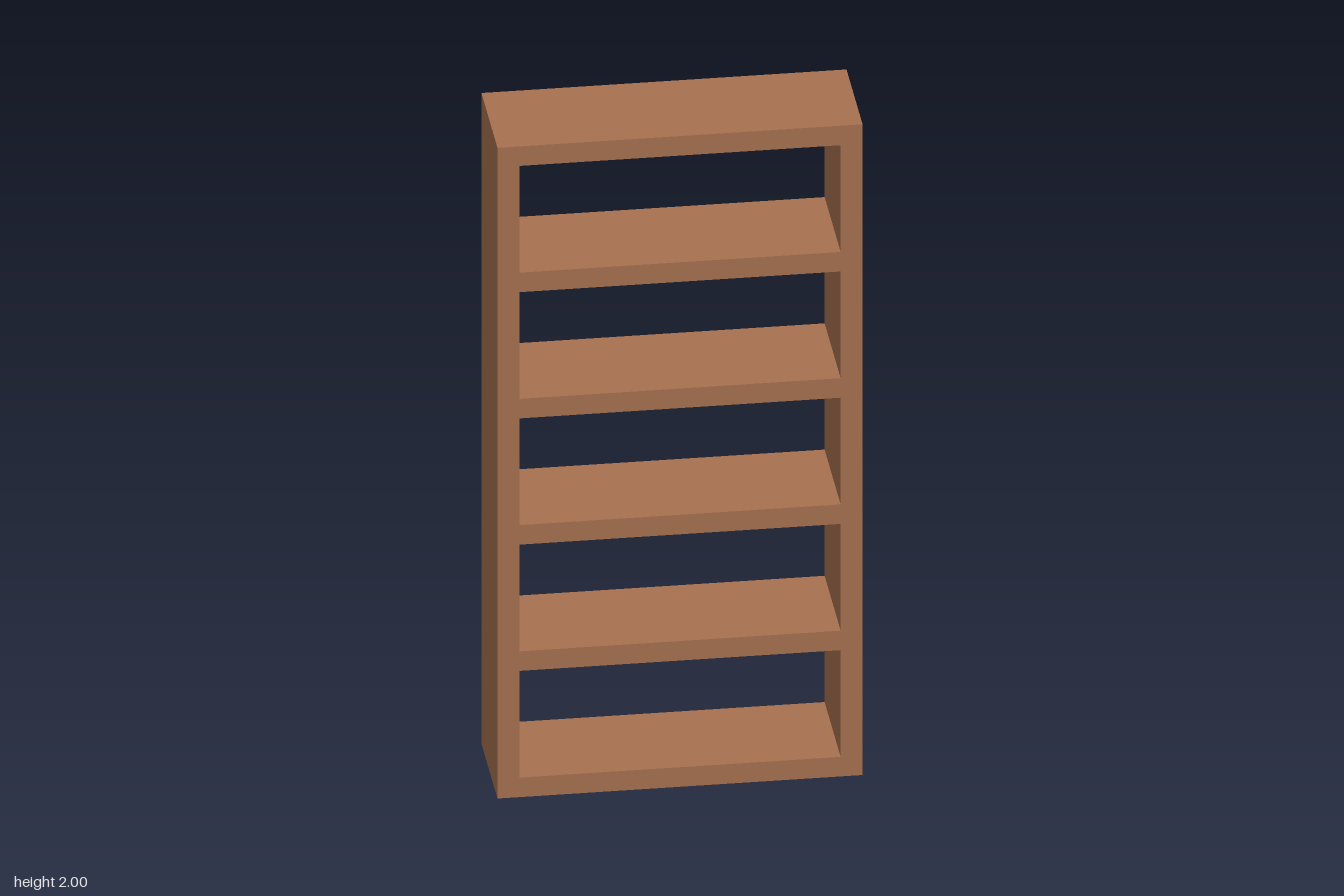
import * as THREE from 'three';

const WIDTH = 1, HEIGHT = 2, DEPTH = 0.32, BOARD = 0.06, BAYS = 5;

export function createModel() {
  const bookcase = new THREE.Group();
  bookcase.name = 'bookcase';
  const wood = new THREE.MeshStandardMaterial({ color: 0xa87250 });

  const addBoard = (name, w, h, x, y) => {
    const board = new THREE.Mesh(new THREE.BoxGeometry(w, h, DEPTH), wood);
    board.name = name;
    board.position.set(x, y, 0);
    bookcase.add(board);
  };

  // Full-height side panels
  const sideX = (WIDTH - BOARD) / 2;
  addBoard('leftSide', BOARD, HEIGHT, sideX, HEIGHT / 2);
  addBoard('rightSide', BOARD, HEIGHT, -sideX, HEIGHT / 2);

  // Bottom, shelves and top, evenly spaced between the sides; the back is open
  const spacing = (HEIGHT - BOARD) / BAYS;
  for (let i = 0; i <= BAYS; i++) {
    const name = i === 0 ? 'bottomBoard' : i === BAYS ? 'topBoard' : `shelf${i}`;
    addBoard(name, WIDTH - 2 * BOARD, BOARD, 0, BOARD / 2 + i * spacing);
  }
  return bookcase;
}
